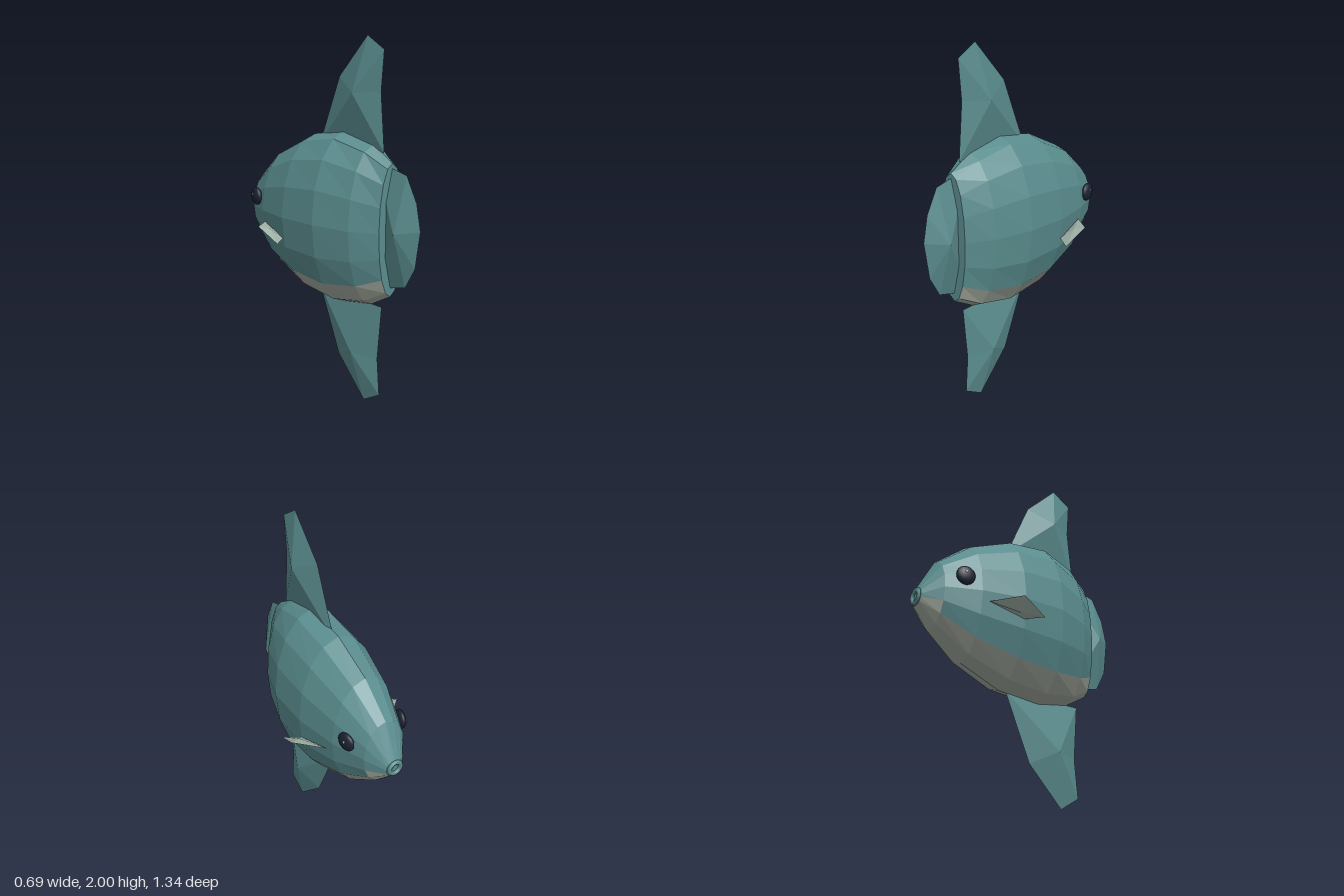
import * as THREE from 'three';

const skin = new THREE.MeshStandardMaterial({ color: 0x5a8c8e });
skin.name = 'tealSkin';
const pale = new THREE.MeshStandardMaterial({ color: 0xa3aa9f });
pale.name = 'paleBelly';
const finPale = new THREE.MeshStandardMaterial({ color: 0xa0b2a8 });
finPale.name = 'paleFin';
const eyeDark = new THREE.MeshStandardMaterial({ color: 0x1c2232 });
eyeDark.name = 'darkEye';
const glint = new THREE.MeshStandardMaterial({ color: 0xc8d0d4 });
glint.name = 'eyeGlint';

// Faceted mesh from a list of triangle corners
function facets(name, corners, material) {
  const g = new THREE.BufferGeometry();
  g.setAttribute('position', new THREE.Float32BufferAttribute(corners.flat(), 3));
  g.computeVertexNormals();
  const mesh = new THREE.Mesh(g, material);
  mesh.name = name;
  return mesh;
}

// Thin fin: an outline joined to a raised point on each side.
// The outline runs counterclockwise seen from apexA.
function fin(name, outline, apexA, apexB, material) {
  const corners = [];
  outline.forEach((p, i) => {
    const q = outline[(i + 1) % outline.length];
    corners.push(apexA, p, q, apexB, q, p);
  });
  return facets(name, corners, material);
}

export function createModel() {
  const model = new THREE.Group();
  model.name = 'fish';

  // Body stations: z, top, bottom, half width
  const stations = [
    [0.47, 1.37, 0.66, 0.09],
    [0.335, 1.45, 0.585, 0.18],
    [0.125, 1.505, 0.545, 0.245],
    [-0.13, 1.465, 0.573, 0.245],
    [-0.375, 1.353, 0.67, 0.195],
    [-0.56, 1.2, 0.81, 0.125],
    [-0.655, 1.02, 0.915, 0.05],
  ];
  const sides = 16;
  const at = (i, j) => {
    const [z, top, bottom, w] = stations[i];
    const a = (j / sides) * Math.PI * 2;
    return [w * Math.sin(a), (top + bottom) / 2 - (top - bottom) / 2 * Math.cos(a), z];
  };
  const back = [], belly = [];
  const last = stations.length - 1;
  for (let i = 0; i < last; i++) {
    const reach = i === last - 1 ? 3 : 2; // pale patch rises at the mouth
    for (let j = -sides / 2; j < sides / 2; j++) {
      const list = j >= -reach && j < reach ? belly : back;
      list.push(at(i, j), at(i + 1, j), at(i, j + 1), at(i, j + 1), at(i + 1, j), at(i + 1, j + 1));
    }
  }
  // Flat ends
  const centre = (i) => [0, (stations[i][1] + stations[i][2]) / 2, stations[i][0]];
  for (let j = 0; j < sides; j++) {
    back.push(centre(0), at(0, j), at(0, j + 1));
    back.push(centre(last), at(last, j + 1), at(last, j));
  }
  model.add(facets('body', back, skin), facets('belly', belly, pale));

  // Ring of the mouth
  const mouth = new THREE.Mesh(new THREE.TorusGeometry(0.035, 0.013, 8, 16), skin);
  mouth.name = 'mouth';
  mouth.position.set(0, 0.968, -0.657);
  model.add(mouth);

  // Tall fins above and below, outline as z, y
  const tall = [[0.41, 1.415], [0.382, 1.72], [0.4, 1.93], [0.28, 2], [0.07, 1.787], [-0.09, 1.415]];
  const apexL = [0.06, 1.71, 0.23], apexR = [-0.06, 1.71, 0.23];
  const flip = ([x, y, z]) => [x, 2 - y, z];
  const upper = tall.map(([z, y]) => [0, y, z]);
  model.add(fin('dorsalFin', upper, apexR, apexL, skin));
  model.add(fin('analFin', upper.map(flip), flip(apexL), flip(apexR), skin));

  // Rounded tail fin
  const tail = [[0.36, 1.37], [0.57, 1.32], [0.64, 1.19], [0.67, 1.05], [0.64, 0.85], [0.575, 0.735], [0.36, 0.68]];
  model.add(fin('tailFin', tail.map(([z, y]) => [0, y, z]), [0.072, 1.025, 0.552], [-0.072, 1.025, 0.552], skin));

  for (const s of [1, -1]) {
    const side = s > 0 ? 'left' : 'right';

    // Side fin
    const paddle = [[0.205, 0.955, -0.338], [0.345, 0.97, -0.215], [0.325, 0.895, -0.07], [0.235, 0.9, -0.135]]
      .map(([x, y, z]) => [s * x, y, z]);
    const over = [s * 0.285, 0.955, -0.195], under = [s * 0.27, 0.91, -0.19];
    model.add(fin(side + 'PectoralFin', paddle, s > 0 ? under : over, s > 0 ? over : under, finPale));

    // Flattened eye with a tiny glint
    const eye = new THREE.Group();
    eye.name = side + 'Eye';
    const ball = new THREE.Mesh(new THREE.SphereGeometry(0.053, 14, 10), eyeDark);
    ball.name = 'eyeball';
    ball.scale.x = 0.45;
    const spot = new THREE.Mesh(new THREE.SphereGeometry(0.008, 8, 6), glint);
    spot.name = 'glint';
    spot.position.set(s * 0.019, 0.012, -0.004);
    eye.add(ball, spot);
    eye.position.set(s * 0.17, 1.08, -0.466);
    eye.rotation.y = s * 0.2;
    model.add(eye);
  }
  return model;
}
